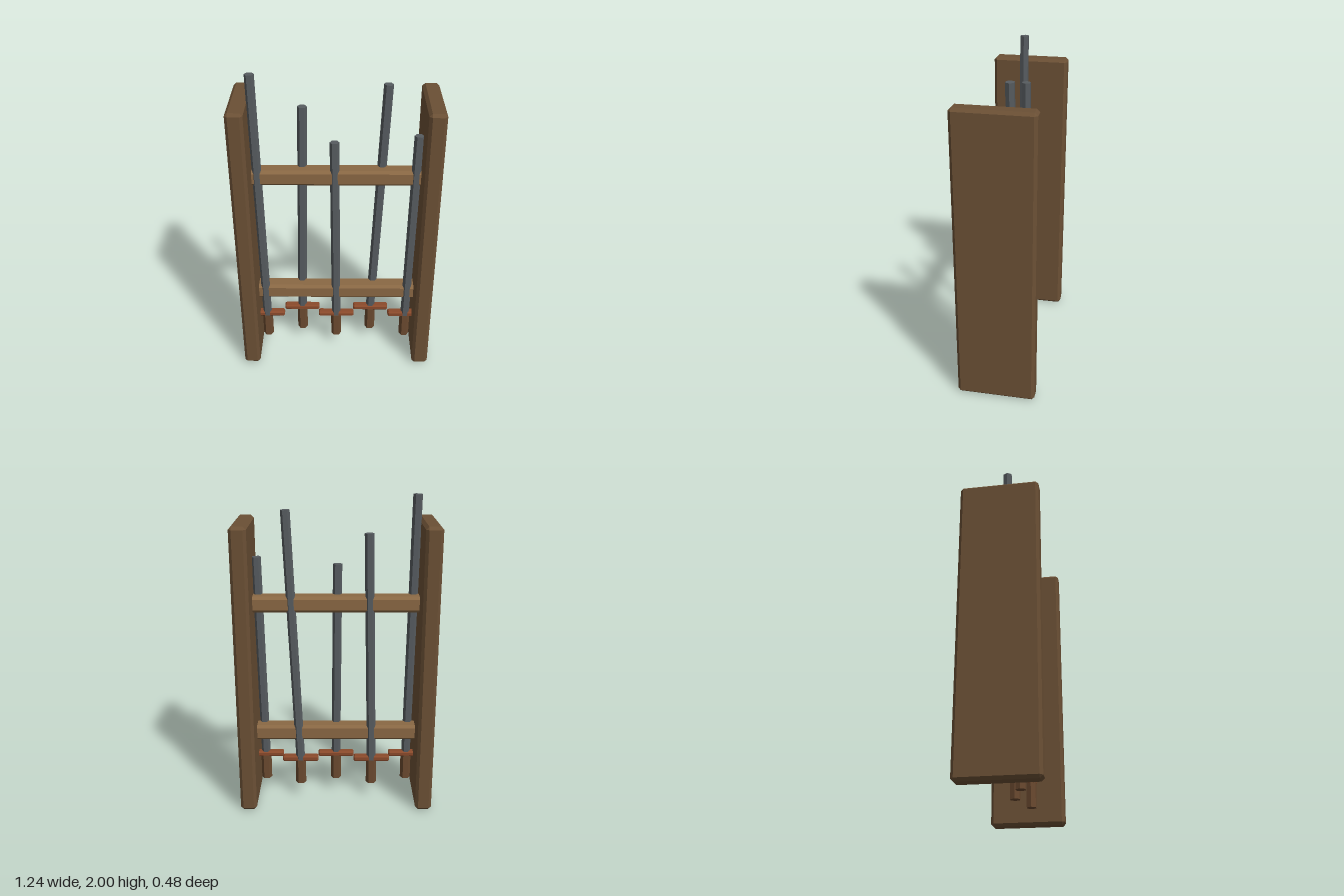
import * as THREE from 'three';
import { ConvexGeometry } from 'three/addons/geometries/ConvexGeometry.js';

const material = (name, color) => {
  const m = new THREE.MeshStandardMaterial({ color });
  m.name = name;
  return m;
};

// Box with every edge cut by a flat chamfer c
function chamferBox(w, h, d, c) {
  const points = [];
  for (const x of [-w / 2, w / 2])
    for (const y of [-h / 2, h / 2])
      for (const z of [-d / 2, d / 2])
        for (let axis = 0; axis < 3; axis++) {
          const inset = (v, i) => (i === axis ? v : v - Math.sign(v) * c);
          points.push(new THREE.Vector3(inset(x, 0), inset(y, 1), inset(z, 2)));
        }
  return new ConvexGeometry(points);
}

// Six-sided bar with corners towards +x and -x, faceted
function hexBar(radius, height) {
  return new THREE.CylinderGeometry(radius, radius, height, 6).rotateY(Math.PI / 6).toNonIndexed();
}

export function createModel() {
  const model = new THREE.Group();
  model.name = 'swordRack';

  const panelWood = material('dark wood', 0x6b5035);
  const barWood = material('light wood', 0x8a6844);
  const steel = material('grey steel', 0x575c60);
  const guardMetal = material('red brown guard', 0x8b4a2b);
  const gripLeather = material('brown grip', 0x6b4a30);

  function add(parent, name, geometry, mat, x, y, z) {
    geometry.computeVertexNormals();
    const mesh = new THREE.Mesh(geometry, mat);
    mesh.name = name;
    mesh.position.set(x, y, z);
    parent.add(mesh);
    return mesh;
  }

  // Side panels
  for (const [name, side] of [['leftPanel', 1], ['rightPanel', -1]])
    add(model, name, chamferBox(0.104, 1.845, 0.482, 0.018), panelWood, side * 0.568, 0.9245, 0);

  // Cross bars
  for (const [name, y] of [['lowerBar', 0.465], ['upperBar', 1.335]])
    add(model, name, chamferBox(1.07, 0.102, 0.106, 0.017), barWood, 0, y, 0);

  // Swords standing grip down: base x, tip x, tip y, side of the bars
  const swords = [
    [-0.469, -0.491, 2.0, 1],
    [-0.234, -0.201, 1.776, -1],
    [0, -0.01, 1.576, 1],
    [0.234, 0.304, 1.916, -1],
    [0.469, 0.491, 1.62, 1],
  ];
  swords.forEach(([x, tipX, tipY, side], i) => {
    const sword = new THREE.Group();
    sword.name = `sword${i + 1}`;
    model.add(sword);

    // Leaning blade from the guard to the tip
    const base = new THREE.Vector3(x, 0.27, side * 0.038);
    const tip = new THREE.Vector3(tipX, tipY, side * 0.033);
    const along = tip.clone().sub(base);
    const blade = add(sword, 'blade', hexBar(0.029, along.length()), steel, 0, 0, 0);
    blade.position.addVectors(base, tip).multiplyScalar(0.5);
    blade.quaternion.setFromUnitVectors(new THREE.Vector3(0, 1, 0), along.normalize());

    add(sword, 'guard', chamferBox(0.236, 0.037, 0.052, 0.009), guardMetal, x, 0.281, side * 0.035);
    add(sword, 'grip', hexBar(0.034, 0.17), gripLeather, x, 0.187, side * 0.035);
  });

  return model;
}
